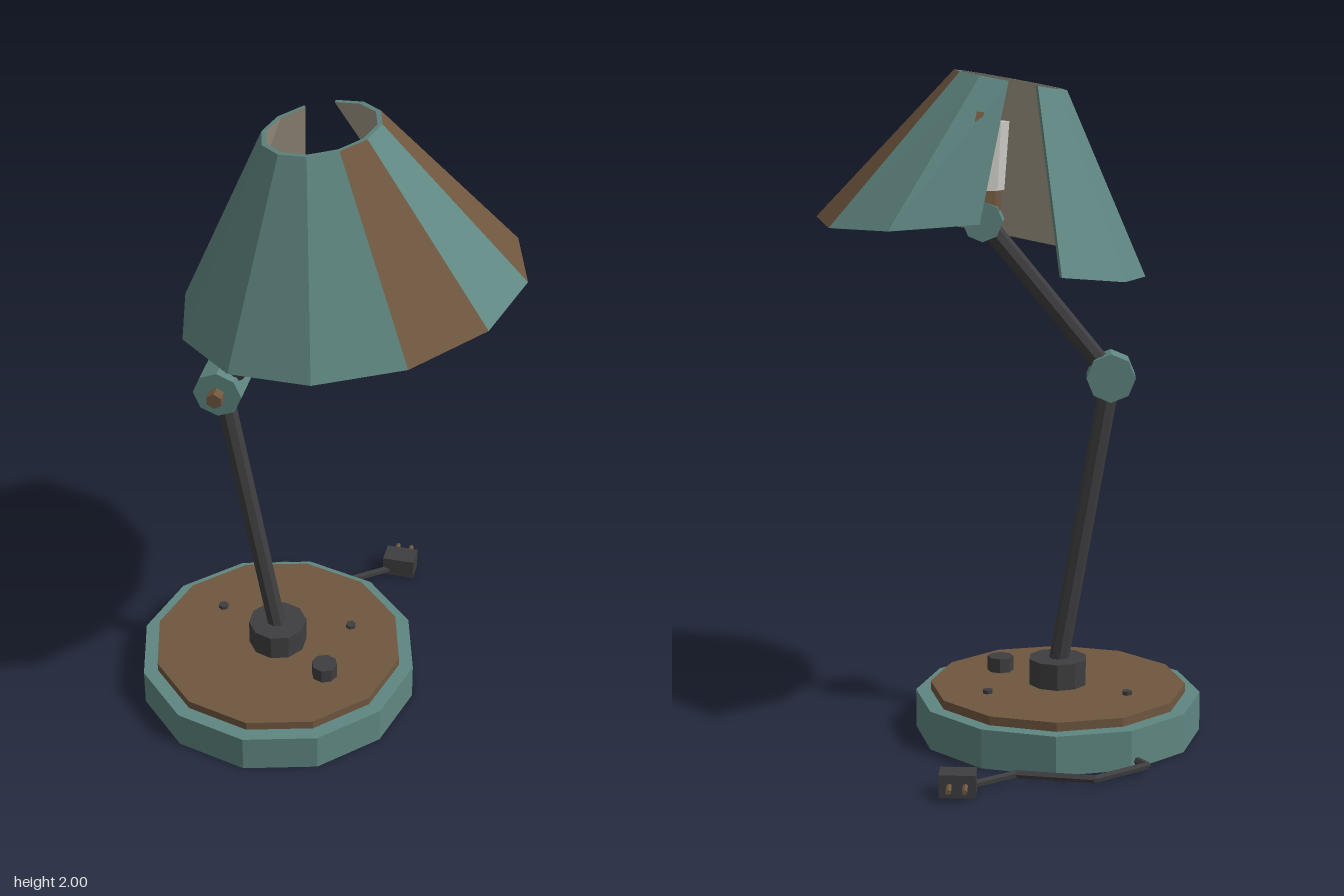
import * as THREE from 'three';

const mat = (name, color) => {
  const m = new THREE.MeshStandardMaterial({ color, flatShading: true });
  m.name = name;
  return m;
};

export function createModel() {
  const teal = mat('teal paint', 0x5f8681);
  const brown = mat('rusty brown', 0x6f573f);
  const dark = mat('dark metal', 0x3e3e40);
  const cream = mat('shade lining', 0xb0a693);
  const white = mat('bulb glass', 0xd0cdc8);

  const lamp = new THREE.Group();
  lamp.name = 'deskLamp';
  const V = (x, y, z) => new THREE.Vector3(x, y, z);
  const add = (name, geometry, material, x = 0, y = 0, z = 0) => {
    const mesh = new THREE.Mesh(geometry, material);
    mesh.name = name;
    mesh.position.set(x, y, z);
    lamp.add(mesh);
    return mesh;
  };
  // Upright cylinder from y0 to y1
  const disc = (name, material, r, y0, y1, x, z, sides, rBottom = r) =>
    add(name, new THREE.CylinderGeometry(r, rBottom, y1 - y0, sides), material, x, (y0 + y1) / 2, z);
  // Straight rod between two points
  const rod = (name, material, a, b, r, sides) => {
    const d = b.clone().sub(a);
    const mesh = add(name, new THREE.CylinderGeometry(r, r, d.length(), sides), material);
    mesh.position.copy(a).add(b).multiplyScalar(0.5);
    mesh.quaternion.setFromUnitVectors(V(0, 1, 0), d.normalize());
    return mesh;
  };

  // Base with top plate, collar, switch and screws
  const bx = -0.145, cz = 0.09;
  disc('base', teal, 0.435, 0, 0.118, bx, cz, 12);
  disc('basePlate', brown, 0.39, 0.118, 0.145, bx, cz, 12);
  disc('collar', dark, 0.09, 0.145, 0.225, bx, cz, 10);
  disc('switchKnob', dark, 0.04, 0.145, 0.19, 0.035, 0.213, 8);
  for (const s of [-1, 1]) disc('screw', dark, 0.016, 0.145, 0.156, bx + s * 0.21, -0.025, 6);

  // Two arms and their hinges
  const foot = V(bx, 0.2, cz), elbow = V(-0.3, 1.097, cz), neck = V(0.08, 1.56, cz);
  rod('lowerArm', dark, foot, elbow, 0.03, 8);
  rod('upperArm', dark, elbow, neck, 0.03, 8);
  const hinge = (name, p, r) => {
    rod(name, teal, V(p.x, p.y, cz - 0.055), V(p.x, p.y, cz + 0.055), r, 8);
    rod(name + 'Bolt', brown, V(p.x, p.y, cz + 0.05), V(p.x, p.y, cz + 0.09), 0.025, 6);
  };
  hinge('elbowHinge', elbow, 0.073);
  hinge('neckHinge', neck, 0.06);

  // Socket and bulb
  disc('socket', brown, 0.052, 1.59, 1.66, neck.x, cz, 8);
  disc('bulb', white, 0.077, 1.65, 1.85, neck.x, cz, 8, 0.062);

  // Twelve-sided tilted shade with one missing panel and a bent neighbour
  const shade = new THREE.Group();
  shade.name = 'shade';
  shade.position.set(0.0875, 1.4825, cz);
  shade.rotation.z = 0.178;
  lamp.add(shade);
  const H = 0.495, missing = 8;
  const lift = { 9: 0.11, 10: 0.04 };
  const corner = (k, t, inset) => {
    const a = (k % 12) * Math.PI / 6;
    const r = THREE.MathUtils.lerp(0.495, 0.168, t) - inset;
    const y = t * H + (1 - t) * (lift[k % 12] || 0);
    return V(r * Math.cos(a), y, r * Math.sin(a));
  };
  const faces = (name, quads, material) => {
    const pts = quads.flatMap(([a, b, c, d]) => [a, b, c, a, c, d]);
    const g = new THREE.BufferGeometry().setFromPoints(pts);
    g.computeVertexNormals();
    const mesh = new THREE.Mesh(g, material);
    mesh.name = name;
    shade.add(mesh);
  };
  const lining = [];
  for (let k = 0; k < 12; k++) {
    if (k === missing) continue;
    const [o0, o1, O0, O1] = [[k, 0], [k + 1, 0], [k, 1], [k + 1, 1]].map(([i, t]) => corner(i, t, 0));
    const [i0, i1, I0, I1] = [[k, 0], [k + 1, 0], [k, 1], [k + 1, 1]].map(([i, t]) => corner(i, t, 0.014));
    faces('shadePanel', [[o1, o0, O0, O1]], k === 1 || k === 11 ? brown : teal);
    const edges = [[o0, o1, i1, i0], [O1, O0, I0, I1]];
    if (k === missing + 1) edges.push([o0, i0, I0, O0]);
    if (k === missing - 1) edges.push([i1, o1, O1, I1]);
    faces('shadeEdge', edges, teal);
    lining.push([i0, i1, I1, I0]);
  }
  faces('shadeLining', lining, cream);

  // Small rust chip on the bent panel
  const chip = (u, t) => corner(9, t, -0.003).lerp(corner(10, t, -0.003), u);
  faces('rustChip', [[chip(0.53, 0.7), chip(0.4, 0.74), chip(0.4, 0.77), chip(0.58, 0.77)].reverse()],
    Object.assign(brown, { side: THREE.DoubleSide }));

  // Power cable with plug and prongs
  const path = [[-0.33, -0.2], [-0.407, -0.31], [-0.255, -0.428], [-0.03, -0.392], [0.11, -0.495]]
    .map(([x, z]) => V(x, 0.022, z));
  for (let i = 1; i < path.length; i++) {
    rod('cable', dark, path[i - 1], path[i], 0.012, 6);
    if (i < path.length - 1) add('cableBend', new THREE.IcosahedronGeometry(0.012, 0), dark, ...path[i].toArray());
  }
  add('plug', new THREE.BoxGeometry(0.104, 0.066, 0.072), dark, 0.128, 0.038, -0.51);
  for (const x of [0.105, 0.15]) rod('prong', brown, V(x, 0.04, -0.54), V(x, 0.04, -0.595), 0.008, 6);

  return lamp;
}
